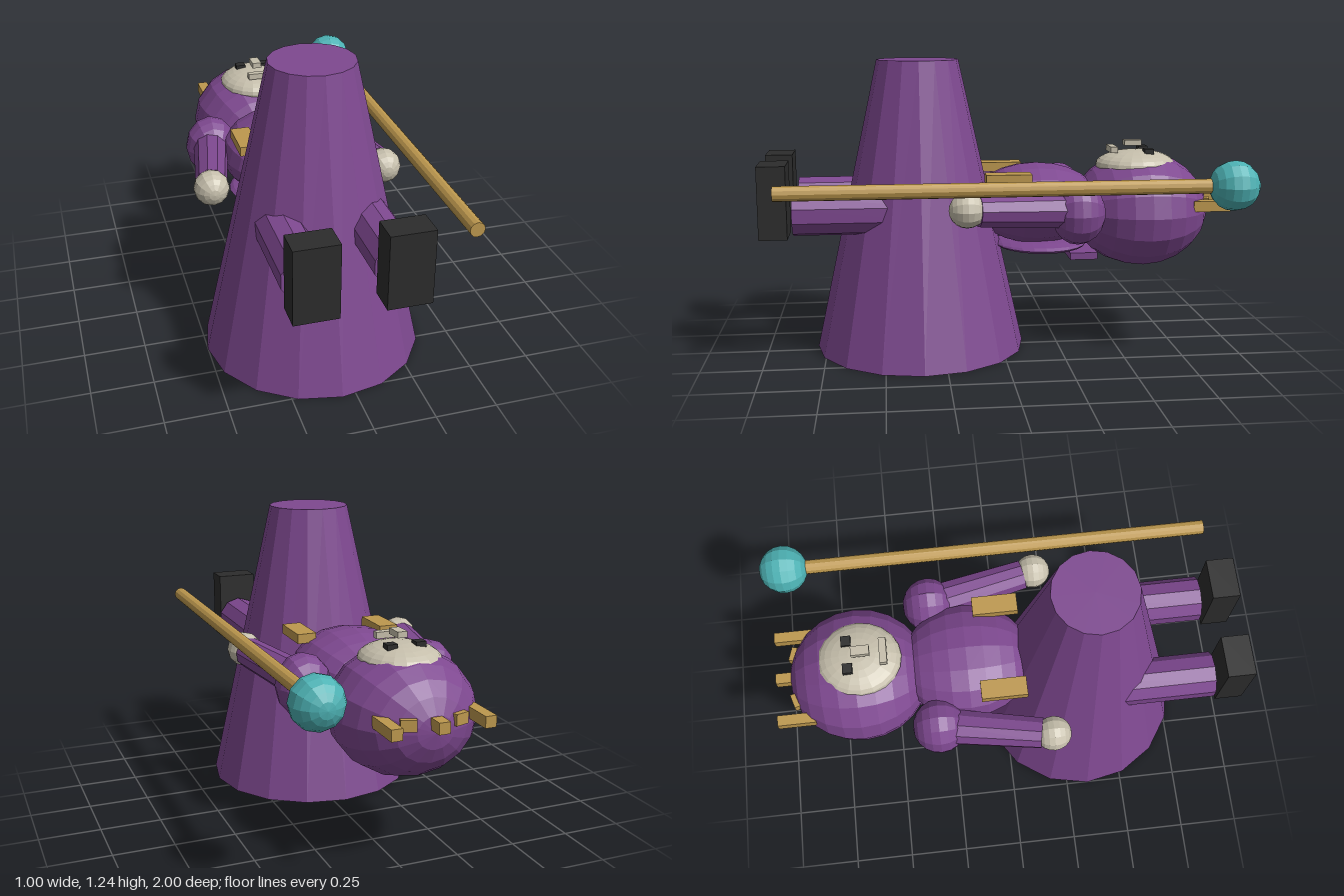
import * as THREE from 'three';

const flat = (name, color) => {
  const m = new THREE.MeshStandardMaterial({ color, flatShading: true });
  m.name = name;
  return m;
};

export function createModel() {
  const purple = flat('purple cloth', 0x7e4890);
  const gold = flat('gold', 0xbd984e);
  const teal = flat('teal crystal', 0x4db2b4);
  const skin = flat('pale skin', 0xc6bfac);
  const black = flat('black', 0x2c2c2c);

  const model = new THREE.Group();
  model.name = 'robedFigure';
  const cx = -0.055; // the body's own centre line

  const add = (name, geometry, material, x, y, z) => {
    const mesh = new THREE.Mesh(geometry, material);
    mesh.name = name;
    mesh.position.set(x, y, z);
    model.add(mesh);
    return mesh;
  };
  const box = (name, mat, [w, h, d], x, y, z) =>
    add(name, new THREE.BoxGeometry(w, h, d), mat, x, y, z);
  // ellipsoid with its poles along z, as the figure lies on its back
  const ball = (name, mat, [rx, ry, rz], x, y, z, w = 16, h = 12) => {
    const g = new THREE.SphereGeometry(1, w, h).rotateX(-Math.PI / 2).scale(rx, ry, rz);
    return add(name, g, mat, x, y, z);
  };
  // cylinder between two points
  const rod = (name, mat, a, b, ra, rb, sides) => {
    const from = new THREE.Vector3(...a), to = new THREE.Vector3(...b);
    const dir = to.clone().sub(from);
    const mid = from.clone().add(to).multiplyScalar(0.5);
    const mesh = add(name, new THREE.CylinderGeometry(rb, ra, dir.length(), sides), mat, mid.x, mid.y, mid.z);
    mesh.quaternion.setFromUnitVectors(new THREE.Vector3(0, 1, 0), dir.normalize());
    return mesh;
  };

  // upright robe skirt, torso, cape and collar
  add('robe', new THREE.CylinderGeometry(0.172, 0.447, 1.24, 16), purple, cx, 0.62, 0.345);
  ball('torso', purple, [0.25, 0.175, 0.28], cx, 0.62, -0.16);
  ball('cape', purple, [0.22, 0.03, 0.2], cx, 0.445, -0.18);
  box('collar', purple, [0.2, 0.03, 0.12], cx, 0.395, -0.36);

  // hooded head and face
  ball('hood', purple, [0.285, 0.25, 0.295], cx, 0.585, -0.62);
  add('face', new THREE.SphereGeometry(1, 20, 14).scale(0.16, 0.068, 0.175), skin, cx, 0.778, -0.6);
  box('nose', skin, [0.04, 0.024, 0.075], cx, 0.876, -0.585);
  box('mouth', skin, [0.108, 0.026, 0.03], cx, 0.85, -0.495);

  // crown: three long prongs and the band between them
  for (const s of [-1, 0, 1]) box('crownProng', gold, [0.045, 0.045, 0.16], cx + s * 0.185, 0.623, -0.89);

  for (const s of [-1, 1]) {
    box('crownBand', gold, [0.06, 0.045, 0.05], cx + s * 0.1, 0.623, -0.88).rotation.y = -s * 0.3;
    box('eye', black, [0.042, 0.024, 0.04], cx + s * 0.059, 0.842, -0.643);
    box('strap', gold, [0.08, 0.04, 0.19], cx + s * 0.185, 0.755, -0.02);

    // arm
    ball('shoulder', purple, [0.113, 0.133, 0.112], cx + s * 0.275, 0.62, -0.3, 12, 10);
    rod('arm', purple, [cx + s * 0.285, 0.635, -0.26], [cx + s * 0.36, 0.652, 0.12], 0.075, 0.065, 10);
    ball('hand', skin, [0.073, 0.073, 0.075], cx + s * 0.368, 0.658, 0.165, 12, 10);

    // leg and boot
    rod('leg', purple, [cx + s * 0.175, 0.625, 0.3], [cx + s * 0.175, 0.625, 0.866], 0.095, 0.095, 10);
    box('boot', black, [0.173, 0.3, 0.115], cx + s * 0.173, 0.68, 0.9425);
  }

  // staff with a crystal ball
  rod('staff', gold, [0.397, 0.753, 0.917], [0.397, 0.753, -0.85], 0.03, 0.03, 12);
  ball('staffOrb', teal, [0.102, 0.102, 0.102], 0.397, 0.753, -0.898, 12, 10);

  return model;
}
